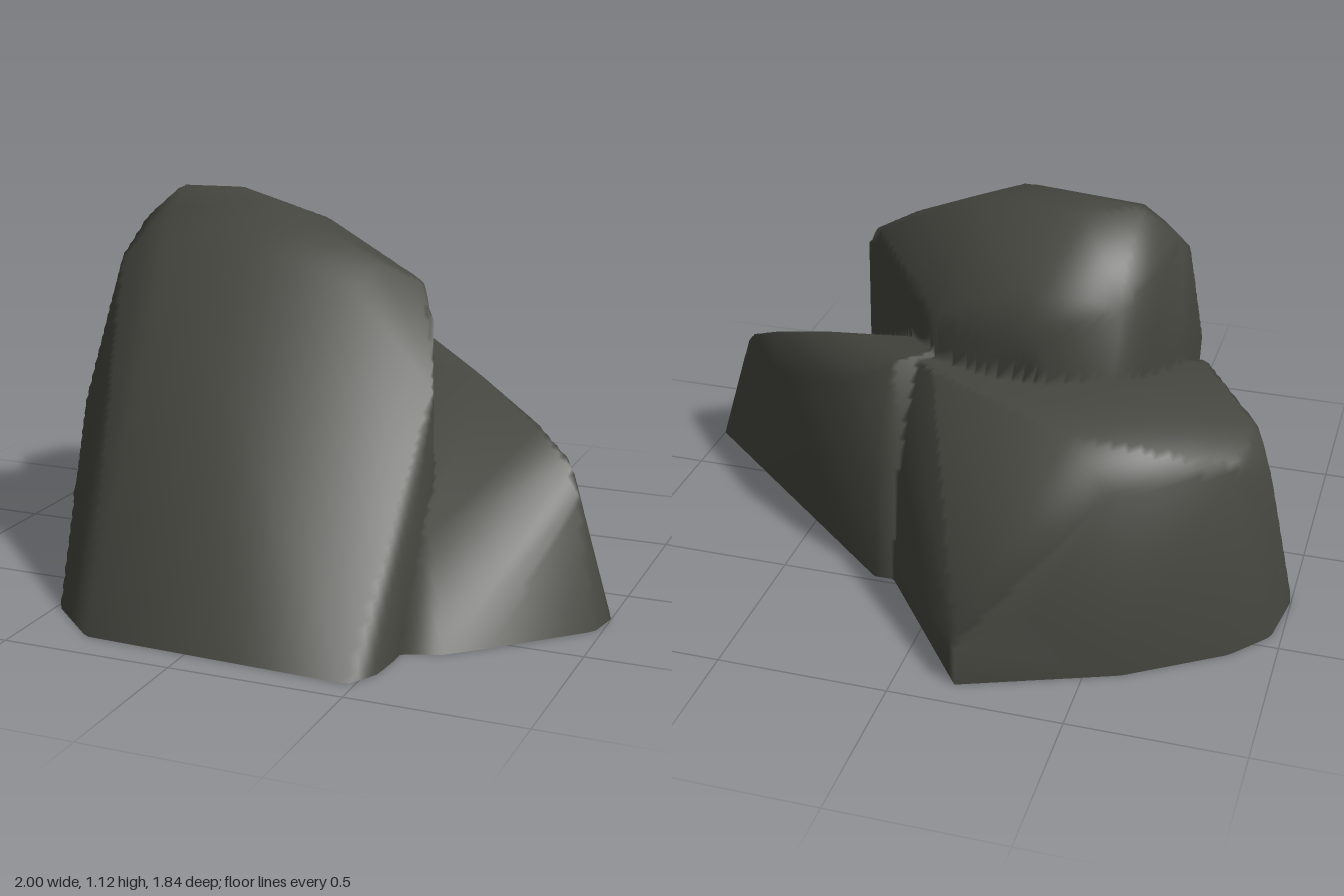
import * as THREE from 'three';
import { ConvexGeometry } from 'three/addons/geometries/ConvexGeometry.js';
import { toCreasedNormals } from 'three/addons/utils/BufferGeometryUtils.js';

const stone = new THREE.MeshStandardMaterial({ color: 0x464640, side: THREE.DoubleSide });
stone.name = 'dark stone';

// Corner points of each boulder; together their hulls form one hollow shell
const boulders = {
  // tall slab with a long sloping front and a rounded crest
  slopedSlab: [
    // foot
    [0.48, 0, 0.92], [-0.31, 0, 0.89], [-0.49, 0, 0.72], [-0.58, 0, 0.3], [-0.58, 0, 0],
    [0.53, 0, 0.83], [0.54, 0, 0.7], [0.5, 0, 0.3], [0.1, 0, -0.2], [-0.4, 0, -0.2],
    // sides
    [-0.59, 0.52, 0.36], [-0.61, 0.68, 0], [-0.6, 0.7, -0.1], [-0.55, 0.78, -0.22],
    [0.53, 0.3, 0.58], [0.5, 0.65, 0.32], [0.43, 0.81, 0.13], [0.37, 0.9, 0.05],
    // crest
    [-0.58, 0.92, 0.13], [-0.5, 1, 0.12], [-0.4, 0.97, 0.19], [0, 0.97, 0.2], [0.2, 0.9, 0.2],
    [-0.45, 1.07, 0.06], [-0.1, 1.1, 0.05], [-0.575, 1.02, -0.03], [-0.47, 1.12, -0.07],
    [-0.26, 1.125, -0.07], [0.05, 1.06, 0], [0.26, 0.95, 0.09], [-0.32, 1.11, -0.15],
    // overhanging back
    [-0.47, 0.9, -0.31], [-0.25, 0.82, -0.41], [-0.15, 0.82, -0.41], [0.06, 0.82, -0.33],
    [0.18, 0.8, -0.2], [-0.25, 0.96, -0.34], [-0.25, 0.66, -0.37],
  ],
  // low blocky boulder behind
  backBoulder: [
    [-1, 0, -0.25], [-0.97, 0, -0.45], [-0.87, 0, -0.57], [-0.6, 0, -0.75], [-0.17, 0, -0.92],
    [0.3, 0, -0.29], [-0.86, 0, -0.03], [-0.79, 0, 0.04], [-0.62, 0, 0.15], [0, 0, 0.15],
    [-0.97, 0.17, -0.32], [-0.965, 0.33, -0.42], [-0.93, 0.53, -0.42], [-0.88, 0.63, -0.36],
    [-0.85, 0.59, -0.54], [-0.67, 0.64, -0.03], [-0.17, 0.13, -0.92], [-0.07, 0.31, -0.67],
    [-0.37, 0.22, -0.84], [-0.54, 0.55, -0.71], [-0.4, 0.66, -0.62], [0.1, 0.48, -0.47],
    [0.06, 0.67, -0.38], [-0.3, 0.68, -0.3], [0.26, 0.45, -0.29], [0.2, 0.66, -0.25],
  ],
  // wedge boulder falling away to the side
  sideBoulder: [
    [0.15, 0, -0.48], [0.22, 0, -0.48], [1, 0, 0.2], [0.98, 0, 0.31], [0.75, 0, 0.54],
    [0.64, 0, 0.64], [0.52, 0, 0.68], [-0.2, 0, 0.2], [-0.2, 0, -0.2],
    [0.97, 0.11, 0.21], [0.89, 0.34, 0.17], [0.85, 0.43, 0.13], [0.73, 0.5, 0.04],
    [0.7, 0.41, -0.06], [0.5, 0.6, -0.1], [0.35, 0.57, -0.35], [0.2, 0.44, -0.47],
    [0.14, 0.44, -0.47], [0.18, 0.68, -0.38], [0, 0.69, -0.2], [0.28, 0.67, -0.22],
    [0.54, 0.27, 0.47],
  ],
};

export function createModel() {
  const group = new THREE.Group();
  group.name = 'rockCluster';

  const names = Object.keys(boulders);
  const hulls = names.map((name) => {
    const hull = new ConvexGeometry(boulders[name].map((c) => new THREE.Vector3(...c)));
    return new THREE.Mesh(toCreasedNormals(hull, 1), stone);
  });

  // Sweep rays out from a point inside all boulders and keep the outermost hit
  const around = 260, up = 84;
  const ray = new THREE.Raycaster(new THREE.Vector3(-0.0213, 0.002, -0.0517));
  const positions = [], normals = [], owner = [];
  for (let j = 0; j <= up; j++) {
    for (let i = 0; i <= around; i++) {
      const a = (i % around) / around * Math.PI * 2 + 0.0007;
      const e = j / up * Math.PI / 2;
      ray.ray.direction.set(Math.cos(e) * Math.sin(a), Math.sin(e), Math.cos(e) * Math.cos(a));
      const hit = ray.intersectObjects(hulls).pop();
      positions.push(hit.point.x, j === 0 ? 0 : hit.point.y, hit.point.z);
      normals.push(-hit.normal.x, -hit.normal.y, -hit.normal.z);
      owner.push(hulls.indexOf(hit.object));
    }
  }

  // Share the swept skin out between the boulders, leaving the underside open
  const faces = names.map(() => []);
  for (let j = 0; j < up; j++) {
    for (let i = 0; i < around; i++) {
      const p = j * (around + 1) + i, q = p + around + 1;
      faces[owner[p]].push(p, p + 1, q + 1, p, q + 1, q);
    }
  }
  names.forEach((name, k) => {
    const skin = new THREE.BufferGeometry();
    skin.setAttribute('position', new THREE.Float32BufferAttribute(positions, 3));
    skin.setAttribute('normal', new THREE.Float32BufferAttribute(normals, 3));
    skin.setIndex(faces[k]);
    const mesh = new THREE.Mesh(skin, stone);
    mesh.name = name;
    group.add(mesh);
  });

  return group;
}
